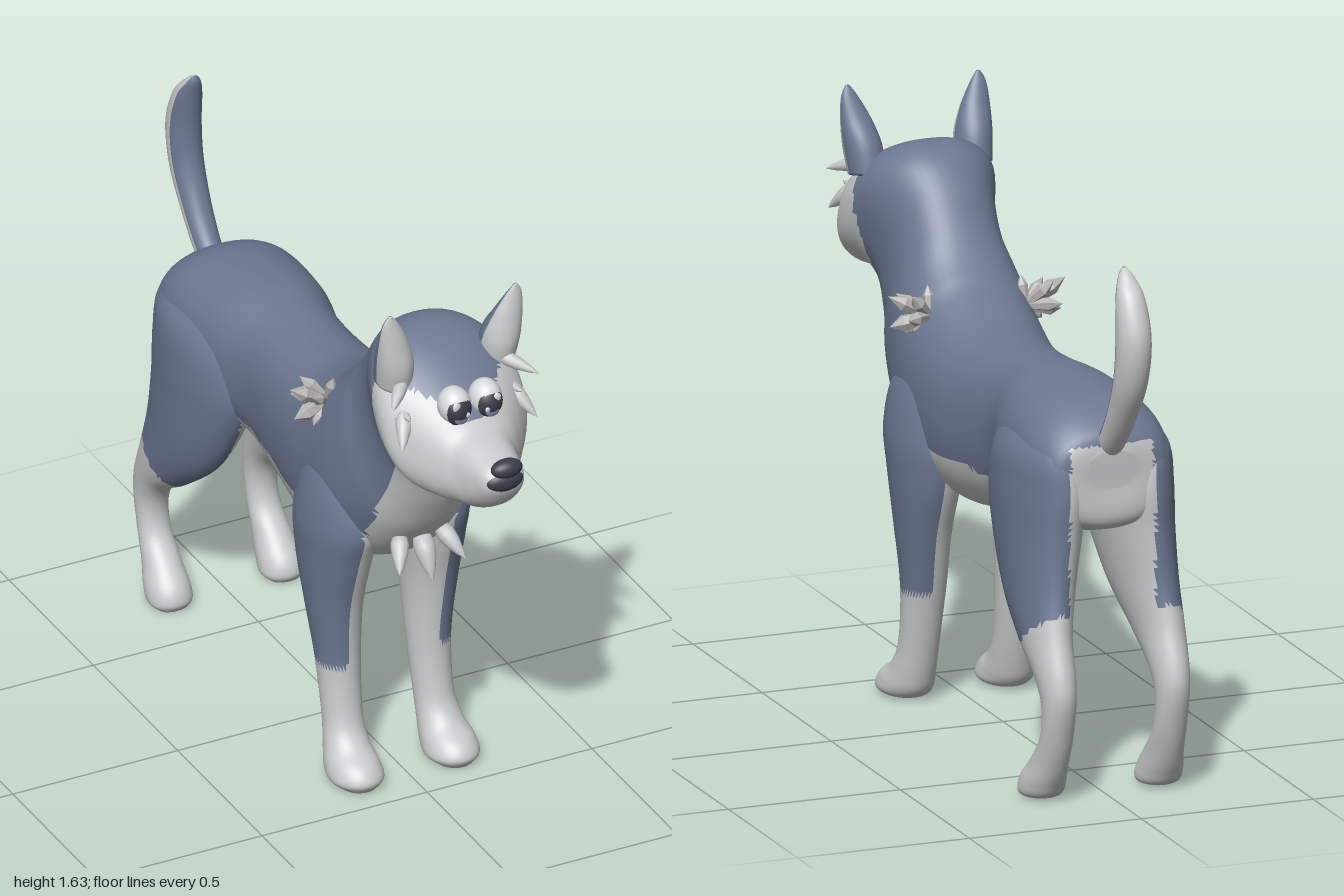
import * as THREE from 'three';

const mat = (name, color, extra = {}) => {
  const m = new THREE.MeshStandardMaterial({ color, ...extra });
  m.name = name;
  return m;
};
const blue = mat('slateFur', 0x6c7892);
const pale = mat('paleFur', 0xc9cacb);
const dark = mat('darkNose', 0x3b3f4b);
const white = mat('eyeWhite', 0xdadcdf);
const iris = mat('irisBlue', 0x7886a4);
const stone = mat('crystalGrey', 0xb4b3b1, { flatShading: true });

// Smooth body through rows [z1, y1, z2, y2, halfWidth, centreX]: each ring spans two
// profile points. isBlue(|x|, y, z, c) picks the fur; c runs from 1 at point 1 to -1 at point 2.
function loft(name, rows, isBlue, { side = 1, steps = 7, seg = 44, power = 1 } = {}) {
  const pos = [], cs = [], n = (rows.length - 1) * steps;
  const at = (col, t) => {
    const i = Math.min(Math.floor(t), rows.length - 2), f = t - i;
    const v = k => rows[Math.max(0, Math.min(rows.length - 1, k))][col] ?? 0;
    const [a, b, c, d] = [v(i - 1), v(i), v(i + 1), v(i + 2)];
    return b + 0.5 * f * (c - a + f * (2 * a - 5 * b + 4 * c - d + f * (3 * (b - c) + d - a)));
  };
  const bend = v => Math.sign(v) * Math.pow(Math.abs(v), power);
  for (let r = 0; r <= n; r++) {
    const [z1, y1, z2, y2, w, cx] = [0, 1, 2, 3, 4, 5].map(k => at(k, r / steps));
    for (let j = 0; j < seg; j++) {
      const a = j / seg * Math.PI * 2, c = bend(Math.cos(a)), s = bend(Math.sin(a));
      pos.push(side * (cx + w * s), (y1 + y2) / 2 + (y1 - y2) / 2 * c, (z1 + z2) / 2 + (z1 - z2) / 2 * c);
      cs.push(c);
    }
  }
  const tris = [];
  for (let r = 0; r < n; r++) for (let j = 0; j < seg; j++) {
    const k = (j + 1) % seg, a = r * seg + j, b = r * seg + k, c = a + seg, d = b + seg;
    tris.push([a, b, c], [b, d, c]);
  }
  // Close both ends with a fan
  for (const [r, flip] of [[0, true], [n, false]]) {
    const mid = pos.length / 3, p = [0, 0, 0];
    for (let j = 0; j < seg; j++) for (let q = 0; q < 3; q++) p[q] += pos[(r * seg + j) * 3 + q] / seg;
    pos.push(...p);
    cs.push(0);
    for (let j = 0; j < seg; j++) {
      const a = r * seg + j, b = r * seg + (j + 1) % seg;
      tris.push(flip ? [b, a, mid] : [a, b, mid]);
    }
  }
  // Turn all faces outward, using the enclosed volume
  const P = i => new THREE.Vector3(pos[i * 3], pos[i * 3 + 1], pos[i * 3 + 2]);
  let volume = 0;
  for (const [a, b, c] of tris) volume += P(a).dot(P(b).cross(P(c)));
  const lists = [[], []];
  for (const [a, b, c] of tris) {
    const m = P(a).add(P(b)).add(P(c)).divideScalar(3);
    const list = lists[isBlue(Math.abs(m.x), m.y, m.z, (cs[a] + cs[b] + cs[c]) / 3) ? 0 : 1];
    if (volume < 0) list.push(a, c, b); else list.push(a, b, c);
  }
  const g = new THREE.BufferGeometry();
  g.setAttribute('position', new THREE.Float32BufferAttribute(pos, 3));
  g.setIndex(lists.flat());
  g.addGroup(0, lists[0].length, 0);
  g.addGroup(lists[0].length, lists[1].length, 1);
  g.computeVertexNormals();
  const mesh = new THREE.Mesh(g, [blue, pale]);
  mesh.name = name;
  return mesh;
}

// Pointed spike from one point to another; shape lists [radius, height] as fractions
function spike(name, from, to, radius, material, shape, sides) {
  const a = new THREE.Vector3(...from), d = new THREE.Vector3(...to).sub(a), len = d.length();
  const pts = shape.map(([r, h]) => new THREE.Vector2(r * radius, h * len));
  const mesh = new THREE.Mesh(new THREE.LatheGeometry(pts, sides), material);
  mesh.name = name;
  mesh.position.copy(a);
  mesh.quaternion.setFromUnitVectors(new THREE.Vector3(0, 1, 0), d.normalize());
  return mesh;
}
const CLAW = [[0, 0], [0.8, 0.05], [1, 0.25], [0.85, 0.5], [0.45, 0.8], [0, 1]];
const CRYSTAL = [[0, 0], [0.6, 0.02], [1, 0.65], [0, 1]];

function ball(name, material, p, scale, cap = Math.PI) {
  const g = new THREE.SphereGeometry(1, 28, 18, 0, Math.PI * 2, 0, cap).rotateX(Math.PI / 2);
  const mesh = new THREE.Mesh(g, material);
  mesh.name = name;
  mesh.position.set(...p);
  mesh.scale.set(...scale);
  return mesh;
}

export function createModel() {
  const dog = new THREE.Group();
  dog.name = 'dog';

  // Rump, trunk, neck, head and muzzle: back line and under line
  const body = [
    [-0.80, 0.98, -0.79, 0.88, 0.07], [-0.775, 1.04, -0.78, 0.77, 0.165], [-0.66, 1.10, -0.66, 0.73, 0.205],
    [-0.45, 1.122, -0.45, 0.70, 0.195], [-0.28, 1.115, -0.30, 0.675, 0.16], [-0.12, 1.108, -0.12, 0.635, 0.17],
    [0.02, 1.12, 0.05, 0.61, 0.19], [0.14, 1.17, 0.22, 0.625, 0.20], [0.20, 1.215, 0.37, 0.695, 0.20],
    [0.25, 1.265, 0.49, 0.82, 0.185], [0.30, 1.335, 0.56, 0.935, 0.162], [0.36, 1.42, 0.61, 1.04, 0.162],
    [0.43, 1.482, 0.66, 1.09, 0.188], [0.51, 1.502, 0.70, 1.095, 0.21], [0.60, 1.475, 0.74, 1.09, 0.21],
    [0.69, 1.42, 0.79, 1.09, 0.168], [0.76, 1.365, 0.84, 1.10, 0.125], [0.81, 1.32, 0.89, 1.115, 0.097],
    [0.88, 1.298, 0.94, 1.15, 0.077], [0.945, 1.277, 0.967, 1.19, 0.06], [0.97, 1.26, 0.98, 1.225, 0.03],
  ];
  dog.add(loft('body', body, (x, y, z) => {
    if (z > 0.575 && y > 1.08) return y > 1.44 - (z - 0.575) * 0.4 || (x < 0.025 && y > 1.335 && z < 0.8);
    if (y < 1.1 && x < 0.14 && z > 0.545 - (1.06 - y) * 0.55) return false;
    if (y < 0.775 && z < 0.35 || y < 0.68) return false;
    return !(z < -0.77 && y < 1 && x < 0.12);
  }, { power: 0.86, steps: 8, seg: 56 }));

  // Tail, slate along its front
  const tail = [
    [-0.72, 1.03, -0.76, 0.95, 0.035], [-0.77, 1.05, -0.81, 0.98, 0.038], [-0.835, 1.14, -0.89, 1.075, 0.042],
    [-0.88, 1.245, -0.97, 1.20, 0.047], [-0.89, 1.35, -0.998, 1.33, 0.048], [-0.878, 1.45, -0.965, 1.44, 0.04],
    [-0.868, 1.50, -0.915, 1.497, 0.022], [-0.872, 1.522, -0.885, 1.52, 0.006],
  ];
  dog.add(loft('tail', tail, (x, y, z, c) => c > 0.2, { seg: 32 }));

  // Legs and ears: front edge and back edge
  const foreleg = [
    [0.30, 1.03, 0.16, 1.03, 0.02, 0.11], [0.37, 0.92, 0.10, 0.92, 0.075, 0.13], [0.40, 0.79, 0.06, 0.78, 0.10, 0.135],
    [0.37, 0.68, 0.075, 0.65, 0.093, 0.14], [0.325, 0.52, 0.125, 0.50, 0.076, 0.143], [0.305, 0.34, 0.168, 0.34, 0.062, 0.137],
    [0.32, 0.18, 0.21, 0.17, 0.056, 0.138], [0.358, 0.11, 0.232, 0.085, 0.062, 0.142], [0.42, 0.072, 0.25, 0.035, 0.073, 0.145],
    [0.447, 0.035, 0.28, 0.01, 0.074, 0.145], [0.432, 0.006, 0.33, 0.003, 0.05, 0.145],
  ];
  const hindleg = [
    [-0.42, 1.05, -0.70, 1.05, 0.02, 0.12], [-0.36, 0.95, -0.78, 0.97, 0.09, 0.128], [-0.33, 0.83, -0.80, 0.86, 0.11, 0.125],
    [-0.37, 0.70, -0.795, 0.74, 0.10, 0.135], [-0.47, 0.54, -0.80, 0.60, 0.083, 0.15], [-0.61, 0.42, -0.825, 0.48, 0.064, 0.163],
    [-0.72, 0.345, -0.862, 0.37, 0.052, 0.165], [-0.76, 0.27, -0.868, 0.295, 0.046, 0.165], [-0.75, 0.19, -0.84, 0.19, 0.046, 0.165],
    [-0.69, 0.12, -0.81, 0.11, 0.052, 0.167], [-0.645, 0.07, -0.78, 0.05, 0.062, 0.17], [-0.632, 0.03, -0.75, 0.012, 0.062, 0.17],
    [-0.645, 0.006, -0.69, 0.003, 0.04, 0.17],
  ];
  const ear = [
    [0.66, 1.39, 0.54, 1.41, 0.05, 0.155], [0.675, 1.46, 0.565, 1.49, 0.053, 0.161], [0.67, 1.54, 0.605, 1.555, 0.042, 0.174],
    [0.662, 1.605, 0.635, 1.61, 0.023, 0.187], [0.658, 1.637, 0.65, 1.637, 0.005, 0.19],
  ];

  for (const side of [1, -1]) {
    const tag = side > 0 ? 'left' : 'right';
    const at = (x, y, z) => [side * x, y, z];
    dog.add(loft(tag + 'FrontLeg', foreleg, (x, y) => y > 0.33 && x > 0.14, { side }));
    dog.add(loft(tag + 'HindLeg', hindleg, (x, y, z) => x > 0.125 && y > 0.4 + (-0.63 - z) * 0.75, { side }));
    dog.add(loft(tag + 'Ear', ear, (x, y, z, c) => c < 0, { side, seg: 32 }));

    // Eye with a dark pupil, lower iris and two highlights
    const eye = new THREE.Group();
    eye.name = tag + 'Eye';
    eye.add(
      ball('eyeball', white, at(0.047, 1.373, 0.752), [0.046, 0.054, 0.05]),
      ball('pupil', dark, at(0.047, 1.369, 0.755), [0.046, 0.053, 0.05], 0.95),
      ball('iris', iris, at(0.047, 1.349, 0.797), [0.02, 0.014, 0.005]),
      ball('highlight', white, at(0.061, 1.39, 0.796), [0.012, 0.014, 0.005]),
      ball('highlight', white, at(0.03, 1.362, 0.801), [0.007, 0.008, 0.004]));
    dog.add(eye);

    // Spikes on brow and cheek
    dog.add(
      spike(tag + 'BrowSpike', at(0.145, 1.42, 0.64), at(0.222, 1.385, 0.73), 0.02, pale, CLAW, 14),
      spike(tag + 'CheekSpike', at(0.155, 1.345, 0.67), at(0.205, 1.265, 0.755), 0.024, pale, CLAW, 14),
      spike(tag + 'CheekSpikeSmall', at(0.16, 1.335, 0.66), at(0.17, 1.345, 0.735), 0.014, pale, CLAW, 14),
      spike(tag + 'CheekMark', at(0.135, 1.335, 0.70), at(0.14, 1.29, 0.755), 0.016, dark, CLAW, 14));

    // Crystal cluster on the shoulder
    const tips = [[0.258, 1.175, 0.19, 0.022], [0.205, 1.18, 0.145, 0.02], [0.25, 1.085, 0.20, 0.024],
      [0.215, 1.165, 0.245, 0.018], [0.225, 1.12, 0.125, 0.02], [0.20, 1.06, 0.215, 0.018], [0.135, 1.19, 0.21, 0.016]];
    const cluster = new THREE.Group();
    cluster.name = tag + 'ShoulderCrystals';
    for (const [x, y, z, r] of tips) cluster.add(spike('crystal', at(0.14, 1.11, 0.185), at(x, y, z), r, stone, CRYSTAL, 6));
    dog.add(cluster);
  }

  // Nose and mouth
  dog.add(ball('nose', dark, [0, 1.278, 0.972], [0.046, 0.027, 0.028]));
  dog.add(ball('mouth', dark, [0, 1.232, 0.957], [0.056, 0.032, 0.027]));

  // Three claws on the chest
  for (const s of [-1, 0, 1]) {
    dog.add(spike('chestClaw', [s * 0.06, s ? 0.805 : 0.80, s ? 0.455 : 0.465],
      [s * 0.1, s ? 0.73 : 0.69, 0.535], s ? 0.026 : 0.031, pale, CLAW, 14));
  }
  return dog;
}
